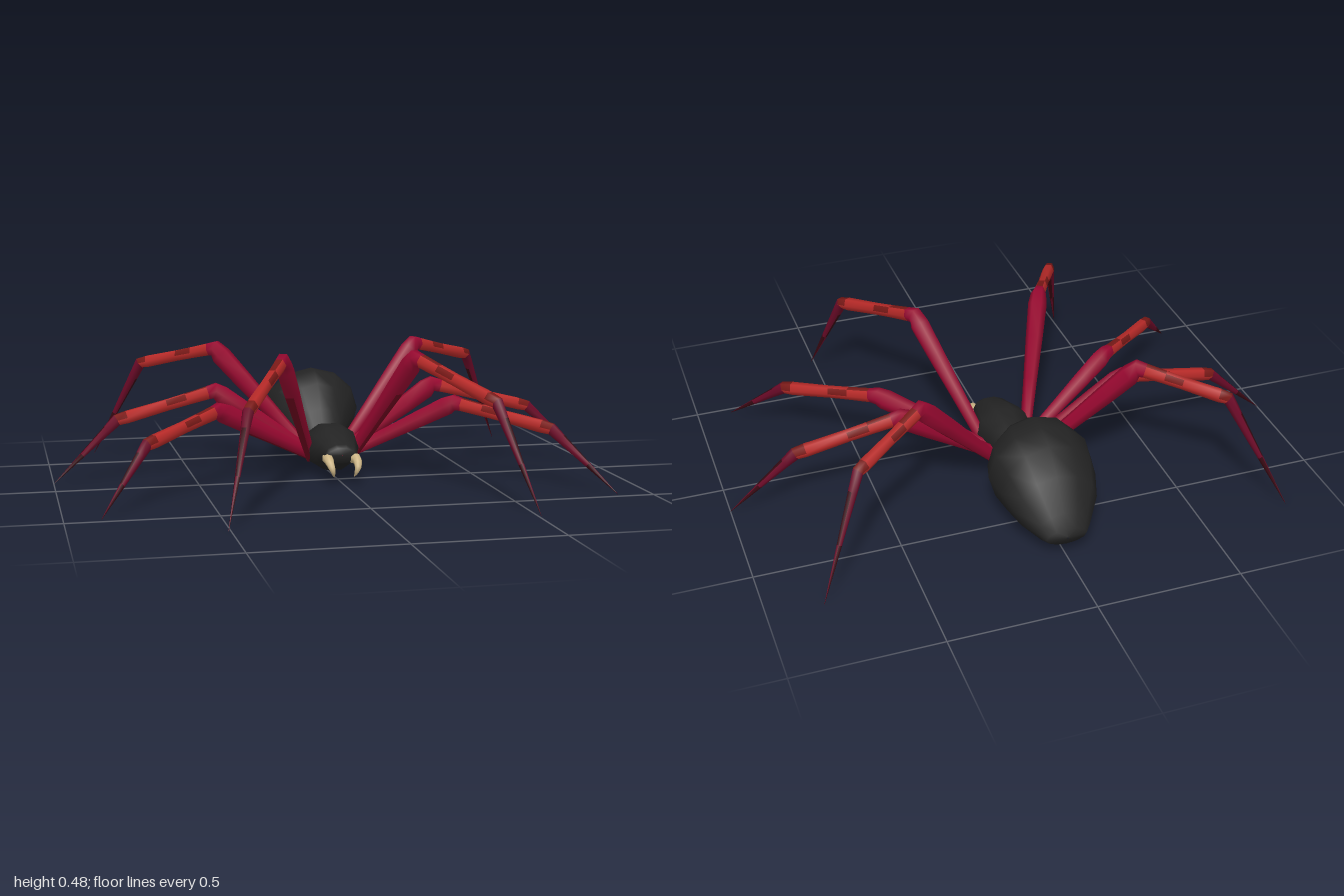
import * as THREE from 'three';

const V = (x, y, z) => new THREE.Vector3(x, y, z);
const mat = (name, color) => {
  const m = new THREE.MeshStandardMaterial({ color });
  m.name = name;
  return m;
};

// Closed ring of points around a centre, spanned by two half-axes
function ring(c, a, b, n) {
  return Array.from({ length: n }, (_, j) => {
    const t = (j / n) * Math.PI * 2;
    return c.clone().addScaledVector(a, Math.cos(t)).addScaledVector(b, Math.sin(t));
  });
}

// Skin over consecutive rings, six indices per face
function loft(rings) {
  const n = rings[0].length, index = [];
  for (let i = 0; i < rings.length - 1; i++) {
    for (let j = 0; j < n; j++) {
      const k = (j + 1) % n, p = i * n, q = p + n;
      index.push(p + j, p + k, q + j, p + k, q + k, q + j);
    }
  }
  const g = new THREE.BufferGeometry().setFromPoints(rings.flat());
  g.setIndex(index);
  g.computeVertexNormals();
  return g;
}

function part(name, geometry, material) {
  const m = new THREE.Mesh(geometry, material);
  m.name = name;
  return m;
}

// Body section from rows of [z, bottom, top, half width], back to front
function bodyPart(name, rows, n, material) {
  const rings = rows.map(([z, lo, hi, w]) =>
    ring(V(0, (lo + hi) / 2, z), V(w, 0, 0), V(0, (hi - lo) / 2, 0), n));
  return part(name, loft(rings), material);
}

// Leg stations: [segment, fraction along it, radius, colours of the six faces that follow]
// Faces run: upper side, top, upper side, lower side, bottom, lower side
const STATIONS = [
  [0, 0, 0.019, 'cdcccc'],
  [0, 0.4, 0.025, 'cdcccc'],
  [0, 0.7, 0.031, 'cccccc'],
  [0, 0.93, 0.034, 'cccccc'],
  [1, 0, 0.028, 'cccccc'],
  [1, 0.08, 0.023, 'rbrrbr'],
  [1, 0.3, 0.021, 'rrrbrb'],
  [1, 0.5, 0.02, 'rrrrrr'],
  [1, 0.9, 0.022, 'rbrbbb'],
  [2, 0, 0.02, 'mmmmmm'],
  [2, 0.15, 0.016, 'mkmmkm'],
  [2, 0.55, 0.009, 'kmkkmk'],
  [2, 1, 0.0005, ''],
];
const COLOURS = 'cdrbmk';

function makeLeg(name, points, materials) {
  const dirs = [0, 1, 2].map((i) => points[i + 1].clone().sub(points[i]).normalize());
  const side = points[3].clone().sub(points[0]).setY(0).normalize().cross(V(0, 1, 0)).normalize();
  const rings = STATIONS.map(([s, f, r]) => {
    const t = dirs[s].clone();
    if (f === 0 && s > 0) t.add(dirs[s - 1]).normalize();
    const up = t.clone().cross(side).normalize();
    const c = points[s].clone().lerp(points[s + 1], f);
    return ring(c, side.clone().multiplyScalar(r), up.multiplyScalar(r * 1.12), 6);
  });
  const g = loft(rings);
  [...STATIONS.map((s) => s[3]).join('')].forEach((ch, i) => g.addGroup(i * 6, 6, COLOURS.indexOf(ch)));
  return part(name, g, materials);
}

// Hip, knee, ankle and tip of each left leg, front to back
const LEGS = [
  [[0.075, 0.06, -0.115], [0.235, 0.455, 0.19], [0.415, 0.345, 0.55], [0.51, 0, 0.73]],
  [[0.06, 0.06, -0.15], [0.43, 0.265, 0.01], [0.71, 0.2, 0.27], [0.88, 0, 0.475]],
  [[0.05, 0.06, -0.185], [0.41, 0.305, -0.205], [0.77, 0.215, -0.17], [1, 0, -0.13]],
  [[0.06, 0.06, -0.225], [0.385, 0.44, -0.375], [0.645, 0.37, -0.55], [0.815, 0, -0.71]],
];

export function createModel() {
  const model = new THREE.Group();
  model.name = 'spider';
  const black = mat('bodyBlack', 0x232323);
  const ivory = mat('fangIvory', 0xd0b888);
  // Same order as COLOURS
  const legMaterials = [
    mat('crimson', 0x980830),
    mat('deepCrimson', 0x70061f),
    mat('tibiaRed', 0xb82a28),
    mat('brickRed', 0x7c1a18),
    mat('maroon', 0x6c0a28),
    mat('darkMaroon', 0x380812),
  ];

  // Abdomen, blunt and low at the back
  model.add(bodyPart('abdomen', [
    [-0.735, 0.075, 0.08, 0.002],
    [-0.725, 0.048, 0.105, 0.07],
    [-0.7, 0.036, 0.15, 0.092],
    [-0.63, 0.028, 0.25, 0.142],
    [-0.55, 0.022, 0.318, 0.168],
    [-0.47, 0.02, 0.343, 0.183],
    [-0.4, 0.021, 0.342, 0.163],
    [-0.34, 0.027, 0.3, 0.124],
    [-0.285, 0.034, 0.21, 0.088],
    [-0.25, 0.042, 0.15, 0.066],
    [-0.235, 0.09, 0.1, 0.003],
  ], 12, black));

  // Head and thorax
  model.add(bodyPart('cephalothorax', [
    [-0.28, 0.08, 0.09, 0.002],
    [-0.26, 0.045, 0.15, 0.06],
    [-0.22, 0.028, 0.168, 0.074],
    [-0.16, 0.02, 0.18, 0.08],
    [-0.1, 0.014, 0.188, 0.1],
    [-0.05, 0.02, 0.182, 0.09],
    [0.01, 0.045, 0.158, 0.072],
    [0.06, 0.065, 0.137, 0.06],
    [0.076, 0.072, 0.126, 0.05],
    [0.078, 0.1, 0.102, 0.002],
  ], 10, black));

  for (const s of [1, -1]) {
    const sideName = s > 0 ? 'left' : 'right';

    // Curved fang, tapering to a point
    const curve = new THREE.CatmullRomCurve3([
      V(s * 0.045, 0.086, 0.045), V(s * 0.051, 0.084, 0.093),
      V(s * 0.046, 0.06, 0.124), V(s * 0.036, 0.028, 0.11),
    ]);
    const rings = Array.from({ length: 9 }, (_, i) => {
      const u = i / 8, t = curve.getTangent(u);
      const a = V(1, 0, 0).addScaledVector(t, -t.x).normalize();
      const b = t.clone().cross(a);
      const r = 0.021 * Math.pow(1 - u, 0.65) + 0.0005;
      return ring(curve.getPoint(u), a.multiplyScalar(r), b.multiplyScalar(r), 7);
    });
    model.add(part(sideName + 'Fang', loft(rings), ivory));

    // Four legs on this side
    LEGS.forEach((pts, i) => {
      const points = pts.map(([x, y, z]) => V(s * x, y, z));
      model.add(makeLeg(sideName + 'Leg' + (i + 1), points, legMaterials));
    });
  }
  return model;
}
